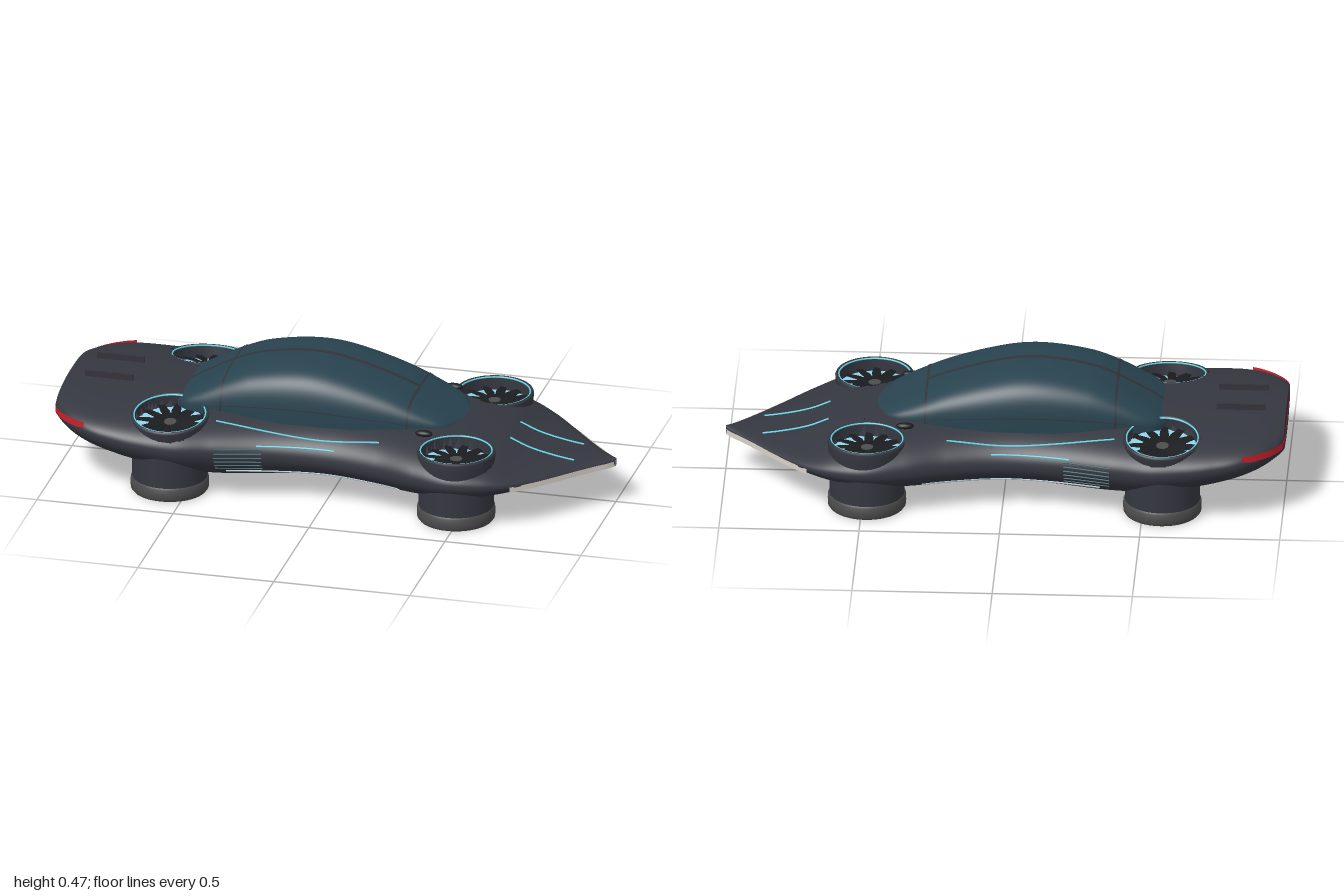
import * as THREE from 'three';
import { ParametricGeometry } from 'three/addons/geometries/ParametricGeometry.js';

const mat = (color) => new THREE.MeshStandardMaterial({ color, side: THREE.DoubleSide });
const PAINT = mat(0x353740), GLASS = mat(0x28434f), BLACK = mat(0x1b1c1f), TYRE = mat(0x4c4c4c),
  CYAN = mat(0x64d4e8), ICE = mat(0x8fd0ea), TEAL = mat(0x245560), WHITE = mat(0xd8d2c8),
  PALE = mat(0xb4ccd4), RED = mat(0xc8202c), FRAME = mat(0x33333a), SPOKE = mat(0x686868);

// Smooth interpolation through [x, value] stations
function sampler(t) {
  const slope = (i) => {
    const a = t[Math.max(i - 1, 0)], b = t[Math.min(i + 1, t.length - 1)];
    return (b[1] - a[1]) / (b[0] - a[0]);
  };
  return (x) => {
    let i = 0;
    while (i < t.length - 2 && x > t[i + 1][0]) i++;
    const d = t[i + 1][0] - t[i][0];
    const s = THREE.MathUtils.clamp((x - t[i][0]) / d, 0, 1), s2 = s * s, s3 = s2 * s;
    return (2 * s3 - 3 * s2 + 1) * t[i][1] + (s3 - 2 * s2 + s) * d * slope(i)
      + (3 * s2 - 2 * s3) * t[i + 1][1] + (s3 - s2) * d * slope(i + 1);
  };
}

// Hull outlines: half width, crown, floor and waist height along the length
const width = sampler([[-1, 0.235], [-0.985, 0.272], [-0.93, 0.336], [-0.85, 0.387], [-0.75, 0.41], [-0.65, 0.418],
  [-0.52, 0.413], [-0.4, 0.378], [-0.2, 0.328], [0, 0.31], [0.2, 0.343], [0.35, 0.392], [0.48, 0.416],
  [0.6, 0.388], [0.7, 0.328], [0.8, 0.228], [0.9, 0.115], [1, 0.008]]);
const crown = sampler([[-1, 0.305], [-0.9, 0.312], [-0.6, 0.312], [-0.2, 0.3], [0.2, 0.3], [0.42, 0.29],
  [0.6, 0.25], [0.7, 0.21], [0.8, 0.187], [0.9, 0.175], [1, 0.17]]);
const floor = sampler([[-1, 0.185], [-0.9, 0.13], [-0.7, 0.07], [-0.4, 0.026], [0, 0.052], [0.3, 0.04],
  [0.55, 0.06], [0.7, 0.095], [0.8, 0.12], [0.9, 0.132], [1, 0.138]]);
const waist = sampler([[-1, 0.25], [-0.6, 0.2], [0, 0.17], [0.5, 0.17], [0.8, 0.155], [1, 0.155]]);
const UP = 2.2, LOW = 2;

const FANS = [{ x: -0.57, y: 0.285, tilt: 0.15 }, { x: 0.483, y: 0.257, tilt: 0 }];
const FAN_Z = 0.273, WELL = 0.19;

// Superellipse section point
function section(x, a, w, mid, top, low, up, down, target) {
  const c = Math.cos(a), s = Math.sin(a), n = s > 0 ? up : down;
  const p = (v) => Math.sign(v) * Math.abs(v) ** (2 / n);
  return target.set(x, mid + p(s) * (s > 0 ? top - mid : mid - low), w * p(c));
}
function hull(x, a, target) {
  section(x, a, width(x), waist(x), crown(x), floor(x), UP, LOW, target);
  // sunken fan wells
  if (target.y > WELL && FANS.some((f) => Math.hypot(x - f.x, Math.abs(target.z) - FAN_Z) < 0.131)) target.y = WELL;
  return target;
}
const topY = (x, z) => waist(x) + (crown(x) - waist(x)) * Math.max(0, 1 - (Math.abs(z) / width(x)) ** UP) ** (1 / UP);
function sideZ(x, y) {
  const m = waist(x), up = y > m, n = up ? UP : LOW;
  const r = (y - m) / (up ? crown(x) - m : floor(x) - m);
  return width(x) * Math.max(0, 1 - r ** n) ** (1 / n);
}

// Canopy bubble
const cabTop = sampler([[-0.585, 0.29], [-0.56, 0.312], [-0.5, 0.348], [-0.4, 0.402], [-0.3, 0.44], [-0.13, 0.465],
  [0, 0.455], [0.2, 0.4], [0.35, 0.335], [0.455, 0.285]]);
const cabWidth = sampler([[-0.585, 0.11], [-0.575, 0.145], [-0.53, 0.188], [-0.4, 0.213], [-0.2, 0.226], [0, 0.224],
  [0.2, 0.206], [0.35, 0.176], [0.42, 0.135], [0.455, 0.06]]);
const canopy = (x, a, t) => section(x, a, cabWidth(x), 0.27, cabTop(x), 0.25, 3.7, 2, t);

export function createModel() {
  const car = new THREE.Group();
  car.name = 'hoverCar';

  function add(name, geometry, material, parent = car) {
    const mesh = new THREE.Mesh(geometry, material);
    mesh.name = name;
    parent.add(mesh);
    return mesh;
  }
  // Patch of a lofted surface between two stations and two angles
  function patch(name, surf, x0, x1, a0, a1, nu, nv, material, lift = 0) {
    add(name, new ParametricGeometry((u, v, t) => {
      const a = a0 + (a1 - a0) * v;
      surf(x0 + (x1 - x0) * u, a, t);
      t.y += Math.sin(a) * lift;
      t.z += Math.cos(a) * lift;
    }, nu, nv), material);
  }
  // Thin line whose points are given by a function of x
  function line(name, x0, x1, f, r, material) {
    const pts = Array.from({ length: 17 }, (_, i) => f(x0 + (x1 - x0) * i / 16));
    add(name, new THREE.TubeGeometry(new THREE.CatmullRomCurve3(pts), 32, r, 6), material);
  }
  // Upright band following a path
  function band(name, pts, height, material) {
    const curve = new THREE.CatmullRomCurve3(pts, false, 'centripetal');
    add(name, new ParametricGeometry((u, v, t) => {
      curve.getPoint(u, t);
      t.y += (v - 0.5) * height;
    }, 80, 1), material);
  }
  const lathe = (pts) => new THREE.LatheGeometry(pts.map(([r, y]) => new THREE.Vector2(r, y)), 48);

  // Ring of tapered, pitched blades round a hub
  function rotor(name, parent, count, wide, material, y) {
    const g = new THREE.Group();
    g.name = name;
    g.position.y = y;
    parent.add(g);
    const shape = new THREE.Shape([[0.02, -0.005], [0.075, -wide], [0.122, -wide * 0.6], [0.122, wide * 0.5],
      [0.075, wide * 0.7], [0.02, 0.005]].map(([a, b]) => new THREE.Vector2(a, b)));
    const geo = new THREE.ExtrudeGeometry(shape, { depth: 0.003, bevelEnabled: false });
    geo.rotateX(-Math.PI / 2 + 0.15);
    for (let i = 0; i < count; i++) add('blade', geo, material, g).rotation.y = i / count * Math.PI * 2;
    add('hub', new THREE.CylinderGeometry(0.022, 0.024, 0.01, 20), TYRE, g);
  }

  // Lift unit: lower wheel, duct column and recessed upper fan in a collar
  function addFan({ x, y, tilt }, s) {
    const unit = new THREE.Group();
    unit.name = 'liftUnit';
    unit.position.set(x, 0, s * FAN_Z);
    car.add(unit);
    add('wheel', lathe([[0.118, 0.016], [0.118, 0.002], [0.122, 0], [0.133, 0], [0.139, 0.008], [0.14, 0.025],
      [0.139, 0.045], [0.133, 0.052]]), TYRE, unit);
    add('duct', new THREE.CylinderGeometry(0.134, 0.134, 0.135, 48), PAINT, unit).position.y = 0.1175;
    add('wheelDisc', new THREE.CylinderGeometry(0.12, 0.12, 0.004, 48), BLACK, unit).position.y = 0.016;
    rotor('wheelSpokes', unit, 12, 0.021, SPOKE, 0.008);

    const top = new THREE.Group();
    top.name = 'fan';
    top.position.y = y;
    top.rotation.x = s * tilt;
    unit.add(top);
    add('collar', lathe([[0.134, -0.075], [0.139, -0.03], [0.141, -0.004], [0.138, 0.003], [0.131, 0.003],
      [0.128, -0.004], [0.128, -0.055]]), PAINT, top);
    add('glowRing', new THREE.TorusGeometry(0.128, 0.003, 8, 48), CYAN, top).rotation.x = Math.PI / 2;
    add('glowDisc', new THREE.CylinderGeometry(0.128, 0.128, 0.004, 48), ICE, top).position.y = -0.05;
    add('innerDisc', new THREE.CylinderGeometry(0.08, 0.08, 0.006, 40), BLACK, top).position.y = -0.048;
    rotor('fanBlades', top, 12, 0.02, BLACK, -0.036);
  }

  // Hull and flat tail panel
  patch('body', hull, -1, 1, 0, Math.PI * 2, 200, 220, PAINT);
  add('tailPanel', new ParametricGeometry((u, v, t) => {
    hull(-1, v * Math.PI * 2, t);
    t.y = 0.25 + (t.y - 0.25) * u;
    t.z *= u;
  }, 4, 64), PAINT);

  // Canopy with its frame
  patch('canopy', canopy, -0.585, 0.455, 0, Math.PI, 80, 64, GLASS);
  patch('canopySpine', canopy, -0.56, 0.28, Math.PI / 2 - 0.0035, Math.PI / 2 + 0.0035, 50, 1, FRAME, 0.002);
  for (const x of [-0.4, 0.28])
    patch('canopyCrossbar', canopy, x - 0.004, x + 0.004, 0.02, Math.PI - 0.02, 2, 64, FRAME, 0.002);
  for (const a of [0.1, Math.PI - 0.1])
    patch('canopyRail', canopy, -0.5, 0.4, a - 0.006, a + 0.006, 50, 1, FRAME, 0.002);

  // Floor tray with panel seams
  const under = -Math.PI / 2;
  patch('floorTray', hull, -0.75, 0.66, under - 0.42, under + 0.42, 60, 12, BLACK, 0.003);
  for (const x of [-0.4, -0.15, 0.1, 0.35])
    patch('traySeam', hull, x, x + 0.006, under - 0.42, under + 0.42, 1, 12, FRAME, 0.005);

  // Lights
  const V = (x, y, z) => new THREE.Vector3(x, y, z);
  const wrap = (xs, y, out, ends) => {
    const half = xs.map((x) => V(x, y, sideZ(x, y) + out));
    return [...half, ...ends, ...half.map((p) => V(p.x, p.y, -p.z)).reverse()];
  };
  band('headlight', wrap([0.695, 0.76, 0.82, 0.88, 0.94, 0.985], 0.15, 0.005, [V(1, 0.15, 0)]), 0.02, WHITE);
  band('tailLight', wrap([-0.86, -0.89, -0.92, -0.95, -0.975, -0.995], 0.253, 0.007,
    [0.2, 0.1, 0, -0.1, -0.2].map((z) => V(-1.002, 0.253, z))), 0.025, RED);

  // Nose intake
  add('noseIntake', new THREE.BoxGeometry(0.06, 0.014, 0.2), BLACK).position.set(0.76, 0.116, 0);

  for (const s of [1, -1]) {
    // Glow lines on bonnet, shoulder, waist and tray edge
    line('bonnetLine', 0.63, 0.865, (x) => V(x, topY(x, 0.073), s * 0.073), 0.004, CYAN);
    line('shoulderLine', -0.4, 0.2, (x) => V(x, topY(x, 0.272), s * 0.272), 0.0035, CYAN);
    line('waistLine', -0.24, 0.04, (x) => V(x, 0.215, s * sideZ(x, 0.215)), 0.0035, CYAN);
    line('trayLine', -0.7, 0.62, (x) => {
      const p = hull(x, under + s * 0.43, V(0, 0, 0));
      return p.setY(p.y - 0.002);
    }, 0.003, TEAL);

    // Side strip and louvres
    line('sideStrip', -0.35, 0.285, (x) => V(x, 0.11, s * sideZ(x, 0.11)), 0.005, PALE);
    for (let i = 0; i < 6; i++) {
      const y = 0.125 + i * 0.016;
      line('louvre', -0.385, -0.22, (x) => V(x, y, s * sideZ(x, y)), 0.003, TEAL);
    }

    // Rear deck fins and mirrors
    add('deckFin', new THREE.BoxGeometry(0.175, 0.022, 0.009), FRAME).position.set(-0.842, 0.326, s * 0.083);
    const mirror = add('mirror', new THREE.SphereGeometry(1, 16, 10), BLACK);
    mirror.scale.set(0.032, 0.012, 0.016);
    mirror.position.set(0.35, 0.285, s * 0.218);

    for (const f of FANS) addFan(f, s);
  }

  return car;
}
